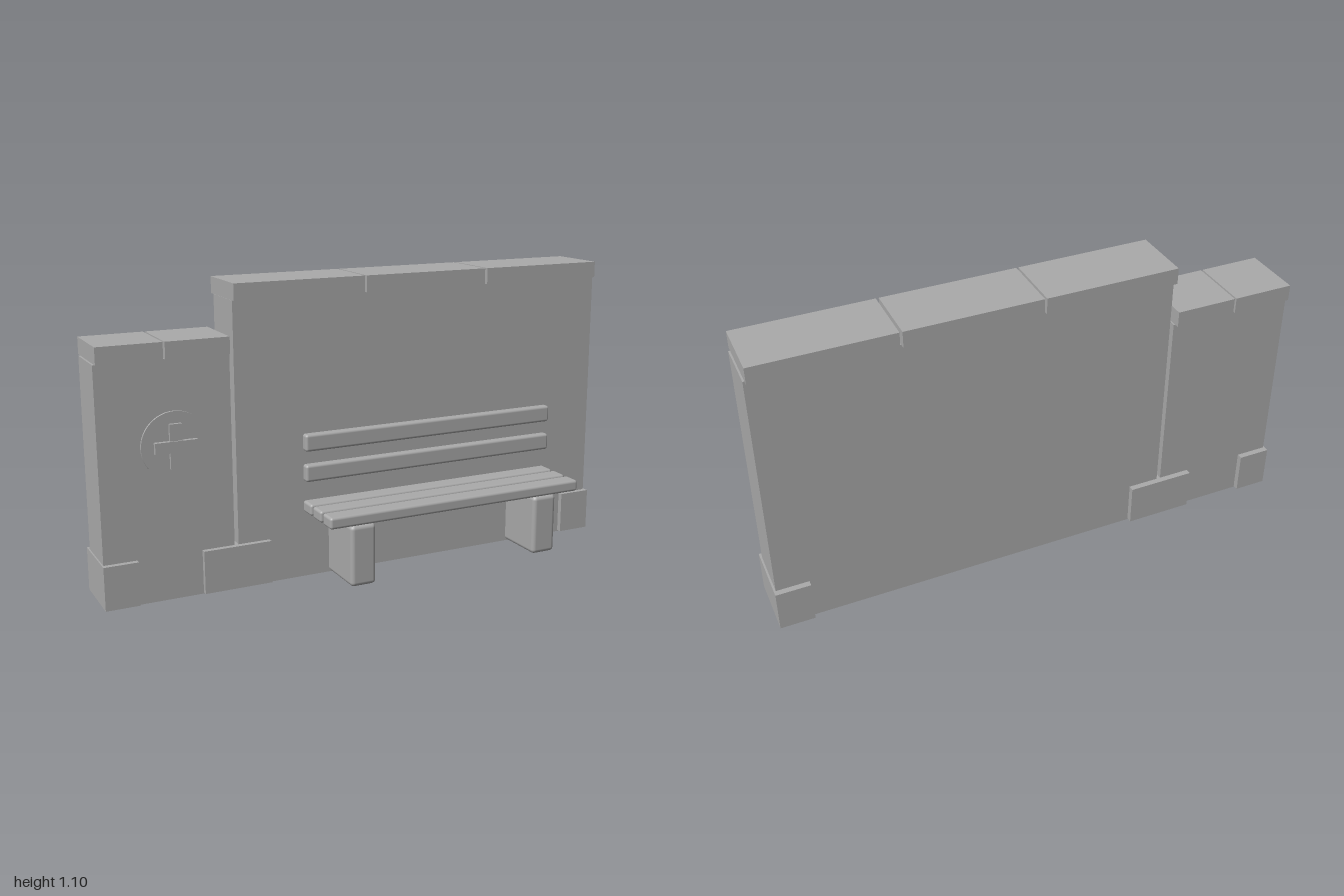
import * as THREE from 'three';
import { RoundedBoxGeometry } from 'three/addons/geometries/RoundedBoxGeometry.js';

export function createModel() {
  const model = new THREE.Group();
  model.name = 'wallWithBench';
  const stone = new THREE.MeshStandardMaterial({ color: 0xaaaaaa });
  stone.name = 'stone grey';

  // Box between two limits on each axis; a radius rounds its edges
  function block(name, [x0, x1], [y0, y1], [z0, z1], radius = 0) {
    const size = [x1 - x0, y1 - y0, z1 - z0];
    const geometry = radius
      ? new RoundedBoxGeometry(...size, 3, radius)
      : new THREE.BoxGeometry(...size);
    const mesh = new THREE.Mesh(geometry, stone);
    mesh.name = name;
    mesh.position.set((x0 + x1) / 2, (y0 + y1) / 2, (z0 + z1) / 2);
    model.add(mesh);
  }

  // Two wall panels
  const wallZ = [-0.203, -0.015];
  block('lowWall', [-0.995, -0.523], [0, 0.855], wallZ);
  block('highWall', [-0.508, 0.993], [0, 1.035], wallZ);

  // Coping stones and footing blocks overhang both wall faces
  const trimZ = [-0.225, 0.005];
  for (const x of [[-0.99, -0.762], [-0.755, -0.527]]) block('lowCoping', x, [0.857, 0.917], trimZ);
  for (const x of [[-0.509, -0.015], [-0.007, 0.485], [0.495, 0.987]]) {
    block('highCoping', x, [1.036, 1.096], trimZ);
  }
  for (const x of [[-1, -0.877], [-0.643, -0.39], [0.873, 1]]) block('footing', x, [0.005, 0.163], trimZ);

  // Bench legs, seat slats and back slats
  for (const x of [[-0.155, -0.055], [0.62, 0.72]]) block('benchLeg', x, [0.003, 0.233], [-0.04, 0.18], 0.016);
  const slatX = [-0.257, 0.785];
  for (const z of [-0.014, 0.071, 0.156]) block('seatSlat', slatX, [0.25, 0.293], [z, z + 0.07], 0.01);
  for (const y of [0.367, 0.48]) block('backSlat', slatX, [y, y + 0.063], [-0.014, 0.022], 0.01);

  // Round sign with a raised cross
  const disc = new THREE.Mesh(new THREE.CylinderGeometry(0.12, 0.12, 0.009, 48), stone);
  disc.name = 'signDisc';
  disc.rotation.x = Math.PI / 2;
  disc.position.set(-0.732, 0.559, 0.001);
  model.add(disc);
  block('crossUpright', [-0.754, -0.71], [0.48, 0.637], [0.003, 0.018]);
  block('crossBar', [-0.808, -0.658], [0.538, 0.578], [0.008, 0.024]);

  return model;
}
